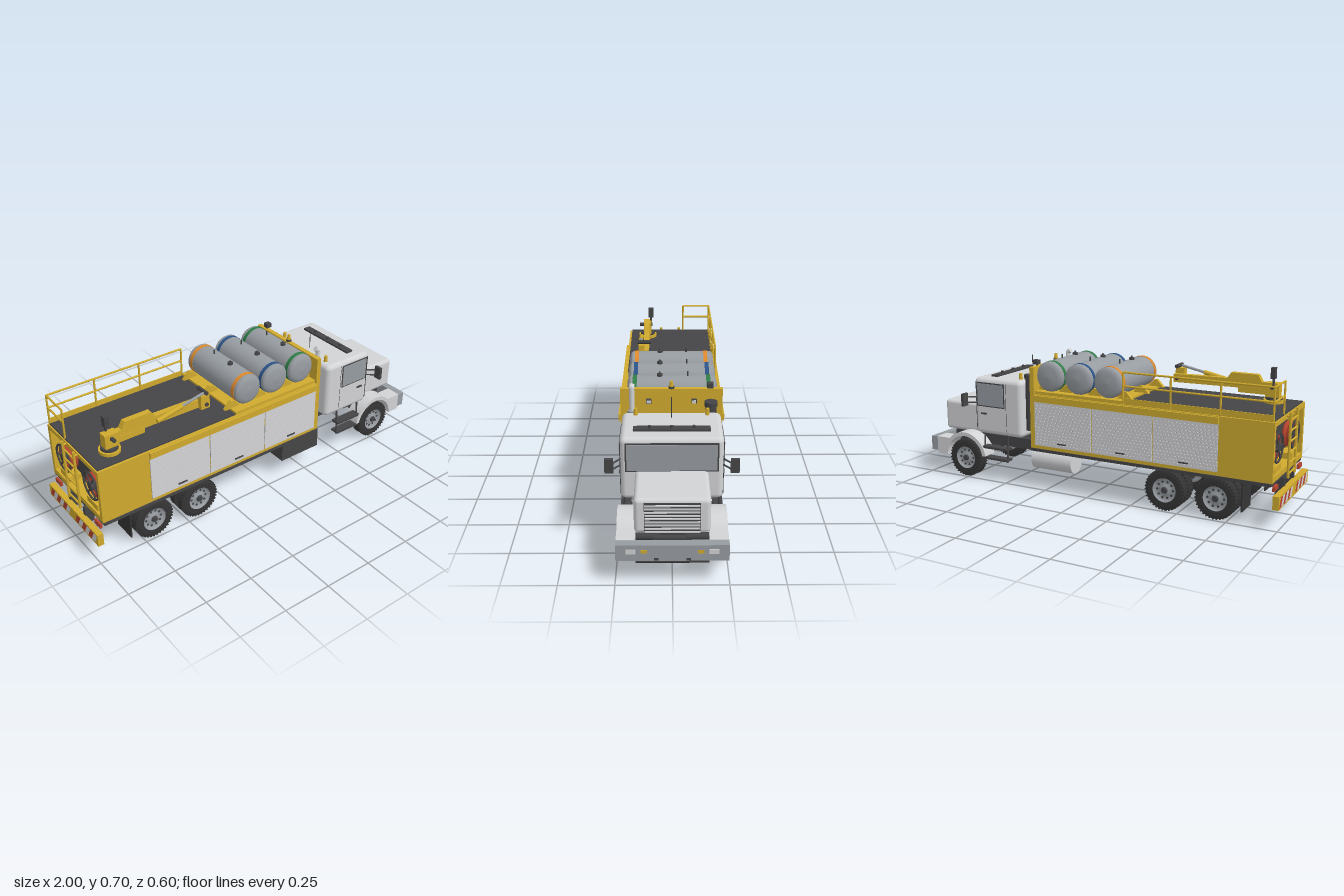
import * as THREE from 'three';
import { RoundedBoxGeometry } from 'three/addons/geometries/RoundedBoxGeometry.js';

const mat = (name, color) => new THREE.MeshStandardMaterial({ name, color });

export function createModel() {
  const yellow = mat('yellow paint', 0xd0ab2e), white = mat('white paint', 0xd2d3d5);
  const dark = mat('dark metal', 0x454547), rubber = mat('rubber', 0x353536);
  const steel = mat('steel grey', 0x979ca1), orange = mat('orange band', 0xe08a2c);
  const blue = mat('blue band', 0x2c5488), green = mat('green band', 0x2f7d48);
  const red = mat('red', 0xb5452f);
  const truck = new THREE.Group();
  truck.name = 'serviceTruck';
  let parent = truck;

  // Helpers
  const group = (name, build) => {
    const g = new THREE.Group(), old = parent;
    g.name = name;
    old.add(g);
    parent = g;
    build(g);
    parent = old;
    return g;
  };
  const add = (name, geo, m, x = 0, y = 0, z = 0) => {
    const mesh = new THREE.Mesh(geo, m);
    mesh.name = name;
    mesh.position.set(x, y, z);
    parent.add(mesh);
    return mesh;
  };
  const box = (name, m, x0, x1, y0, y1, z0, z1, r = 0) => {
    const s = [x1 - x0, y1 - y0, Math.abs(z1 - z0)];
    const geo = r ? new RoundedBoxGeometry(...s, 4, r) : new THREE.BoxGeometry(...s);
    return add(name, geo, m, (x0 + x1) / 2, (y0 + y1) / 2, (z0 + z1) / 2);
  };
  const rod = (name, m, a, b, r, r2 = r, n = 12) => {
    const p = new THREE.Vector3(...a), q = new THREE.Vector3(...b), d = q.clone().sub(p);
    const mesh = add(name, new THREE.CylinderGeometry(r2, r, d.length(), n), m, ...p.add(q).multiplyScalar(0.5));
    mesh.quaternion.setFromUnitVectors(new THREE.Vector3(0, 1, 0), d.normalize());
    return mesh;
  };
  const lathe = (pts, n = 40) => new THREE.LatheGeometry(pts.map(p => new THREE.Vector2(...p)), n).rotateX(Math.PI / 2);
  const poly = pts => new THREE.Shape(pts.map(p => new THREE.Vector2(...p)));
  const extrude = (shape, depth) => new THREE.ExtrudeGeometry(shape, { depth, bevelEnabled: false, curveSegments: 24 });

  // Chassis
  group('chassis', () => {
    for (const s of [1, -1]) box('frameRail', dark, -0.96, 0.95, 0.155, 0.213, s * 0.06, s * 0.085);
    for (const x of [-0.93, -0.56, -0.2, 0.1, 0.42, 0.62, 0.93]) box('crossMember', dark, x - 0.012, x + 0.012, 0.165, 0.205, -0.06, 0.06);
    rod('driveShaft', dark, [-0.45, 0.13, 0], [0.5, 0.16, 0], 0.012);
    box('engine', dark, 0.5, 0.92, 0.15, 0.26, -0.055, 0.055);
    for (const x of [-0.69, -0.427, 0.77]) {
      rod('axle', dark, [x, 0.105, -0.2], [x, 0.105, 0.2], 0.017);
      if (x < 0) add('differential', new THREE.SphereGeometry(0.04, 20, 14), dark, x, 0.112, 0);
      for (const s of [1, -1]) box('leafSpring', dark, x - 0.09, x + 0.09, 0.135, 0.155, s * 0.062, s * 0.088);
    }
    box('batteryBox', dark, 0.1, 0.345, 0.105, 0.21, 0.1, 0.24);
    rod('fuelTank', white, [0.1, 0.155, -0.18], [0.34, 0.155, -0.18], 0.058, 0.058, 28);
    for (const s of [1, -1]) {
      box('mudFlap', rubber, -0.825, -0.818, 0.06, 0.21, s * 0.115, s * 0.24);
      for (const x of [0.5, 0.65]) rod('stepPost', dark, [x, 0.11, s * 0.225], [x, 0.26, s * 0.215], 0.005);
      for (const y of [0.115, 0.175]) box('cabStep', dark, 0.495, 0.655, y, y + 0.012, s * 0.19, s * 0.238);
    }
  });

  // Wheels
  const w = 0.029;
  const tyreGeo = lathe([[0.06, -w], [0.085, -w - 0.001], [0.098, -w + 0.002], [0.102, -w + 0.008], [0.102, -0.009], [0.098, -0.008],
    [0.098, -0.005], [0.102, -0.004], [0.102, 0.004], [0.098, 0.005], [0.098, 0.008], [0.102, 0.009], [0.102, w - 0.008],
    [0.098, w - 0.002], [0.085, w + 0.001], [0.06, w]], 48);
  const rimGeo = lathe([[0.001, -0.02], [0.05, -0.02], [0.062, -w], [0.064, w - 0.001], [0.059, w + 0.001], [0.054, 0.018], [0.03, 0.014], [0.026, 0.024], [0.001, 0.024]]);
  const lugGeo = new THREE.BoxGeometry(0.007, 0.012, 0.014);
  const wheel = (x, z, s) => group('wheel', g => {
    g.position.set(x, 0.105, z);
    if (s < 0) g.rotation.y = Math.PI;
    add('tyre', tyreGeo, rubber);
    add('rim', rimGeo, steel);
    rod('hub', dark, [0, 0, 0.02], [0, 0, 0.034], 0.018, 0.014, 16);
    for (let i = 0; i < 10; i++) {
      const a = i * Math.PI / 5;
      const c = [0.042 * Math.cos(a), 0.042 * Math.sin(a)];
      rod('rimHole', dark, [...c, 0.012], [...c, 0.0185], 0.006);
    }
    for (let i = 0; i < 36; i++) for (const t of [1, -1]) {
      const a = (i + (t > 0 ? 0.5 : 0)) * Math.PI / 18;
      add('treadLug', lugGeo, rubber, 0.0985 * Math.cos(a), 0.0985 * Math.sin(a), t * 0.021).rotation.z = a - Math.PI / 2;
    }
  });
  for (const s of [1, -1]) {
    wheel(0.77, s * 0.21, s);
    for (const x of [-0.69, -0.427]) for (const z of [0.146, 0.21]) wheel(x, s * z, s);
  }

  // Service body with side shutters
  group('serviceBody', () => {
    box('bodyCore', yellow, -0.88, 0.31, 0.222, 0.508, -0.245, 0.245);
    box('bodyRoof', yellow, -0.965, -0.88, 0.485, 0.508, -0.245, 0.245);
    box('bodyFloor', yellow, -0.965, -0.88, 0.222, 0.25, -0.245, 0.245);
    box('bulkhead', yellow, 0.31, 0.335, 0.215, 0.648, -0.245, 0.245);
    box('subframe', dark, -0.96, 0.335, 0.207, 0.222, -0.25, 0.25);
    box('deckPlate', dark, -0.958, -0.2, 0.507, 0.514, -0.233, 0.233);
    box('rearRecess', dark, -0.886, -0.879, 0.25, 0.485, -0.225, 0.225);
    for (const s of [1, -1]) {
      box('rearWall', yellow, -0.965, -0.88, 0.25, 0.485, s * 0.225, s * 0.245);
      box('shutterHood', yellow, -0.7, 0.31, 0.472, 0.505, s * 0.245, s * 0.257);
      for (let p = 0; p < 3; p++) {
        const x0 = -0.7 + p * 0.337, x1 = x0 + 0.332;
        box('shutterBack', steel, x0, x1, 0.24, 0.472, s * 0.244, s * 0.247);
        for (let i = 0; i < 14; i++) box('shutterSlat', white, x0, x1, 0.241 + i * 0.0165, 0.2561 + i * 0.0165, s * 0.246, s * 0.25);
        box('shutterHandle', dark, x0 + 0.145, x0 + 0.195, 0.26, 0.266, s * 0.25, s * 0.256);
      }
      // Rear hose reels
      group('hoseReel', g => {
        g.position.set(-0.925, 0.365, s * 0.135);
        g.rotation.y = Math.PI / 2;
        for (const [r, z] of [[0.052, -0.012], [0.052, 0.012], [0.044, 0]]) add('hose', new THREE.TorusGeometry(r, 0.012, 8, 32), red, 0, 0, z);
        rod('reelDrum', dark, [0, 0, -0.035], [0, 0, 0.035], 0.022, 0.022, 20);
        add('reelFlange', new THREE.TorusGeometry(0.07, 0.005, 6, 32), dark, 0, 0, -0.028);
        for (let i = 0; i < 3; i++) {
          const a = i * Math.PI / 3, c = 0.07 * Math.cos(a), d = 0.07 * Math.sin(a);
          rod('reelSpoke', dark, [c, d, -0.028], [-c, -d, -0.028], 0.004);
        }
        box('reelStand', yellow, -0.05, 0.05, -0.115, -0.085, -0.03, 0.03);
      });
      rod('ladderRail', yellow, [-0.982, 0.2, s * 0.055], [-0.982, 0.52, s * 0.055], 0.007);
      rod('ladderBracket', yellow, [-0.982, 0.5, s * 0.055], [-0.94, 0.5, s * 0.055], 0.006);
      box('tailLight', red, -0.972, -0.96, 0.18, 0.203, s * 0.17, s * 0.225);
      box('bumperBracket', dark, -0.975, -0.93, 0.12, 0.21, s * 0.065, s * 0.085);
    }
    for (let i = 0; i < 6; i++) rod('ladderRung', yellow, [-0.982, 0.22 + i * 0.052, -0.055], [-0.982, 0.22 + i * 0.052, 0.055], 0.005);
    box('rearBumper', yellow, -1, -0.97, 0.1, 0.165, -0.245, 0.245);
    for (let i = 0; i < 14; i++) {
      const z = -0.24 + i * 0.0325, d = 0.0325;
      if (i === 6 || i === 7) continue;
      const stripe = poly([[z, 0.108], [z + d, 0.108], [z + d + 0.025, 0.157], [z + 0.025, 0.157]]);
      add('bumperStripe', new THREE.ShapeGeometry(stripe).rotateY(-Math.PI / 2), i % 2 ? white : red, -1.0008);
    }
    // Deck railing
    const posts = [-0.955, -0.703, -0.452, -0.2];
    for (const x of posts) rod('railPost', yellow, [x, 0.51, -0.237], [x, 0.668, -0.237], 0.005);
    rod('railPost', yellow, [-0.955, 0.51, -0.08], [-0.955, 0.668, -0.08], 0.005);
    for (const y of [0.6, 0.668]) {
      rod('sideRail', yellow, [-0.955, y, -0.237], [-0.2, y, -0.237], 0.005);
      rod('endRail', yellow, [-0.955, y, -0.237], [-0.955, y, -0.08], 0.005);
    }
    box('toeBoard', yellow, -0.955, -0.2, 0.51, 0.54, -0.24, -0.235);
  });

  // Three banded tanks on saddles
  const tankGeo = lathe([[0.001, -0.22], [0.05, -0.216], [0.07, -0.209], [0.078, -0.198], [0.078, 0.198], [0.07, 0.209], [0.05, 0.216], [0.001, 0.22]]);
  group('tanks', () => {
    box('tankBase', yellow, -0.2, 0.31, 0.507, 0.524, -0.235, 0.235);
    [[-0.1, orange], [0.069, blue], [0.238, green]].forEach(([x, band]) => {
      add('tank', tankGeo, steel, x, 0.6, -0.004);
      for (const z of [-0.178, 0.176]) rod('tankBand', band, [x, 0.6, z - 0.01], [x, 0.6, z + 0.01], 0.0795, 0.0795, 40);
      rod('valveBase', dark, [x, 0.67, 0.056], [x, 0.688, 0.056], 0.014);
      rod('valveCap', dark, [x, 0.686, 0.056], [x, 0.698, 0.056], 0.008, 0.003);
      rod('ventPipe', dark, [x, 0.67, -0.079], [x, 0.7, -0.079], 0.004);
    });
    for (const x of [-0.185, -0.015, 0.153, 0.29]) for (const z of [-0.19, -0.01, 0.17])
      add('tankSaddle', extrude(poly([[-0.045, 0.52], [0.045, 0.52], [0.008, 0.56], [-0.008, 0.56]]), 0.02), yellow, x === 0.29 ? 0.285 : x, 0, z);
  });

  // Folding crane
  group('crane', () => {
    rod('craneBase', yellow, [-0.84, 0.51, 0.135], [-0.84, 0.53, 0.135], 0.052, 0.052, 28);
    rod('slewRing', dark, [-0.84, 0.53, 0.135], [-0.84, 0.542, 0.135], 0.042, 0.042, 28);
    box('craneColumn', yellow, -0.87, -0.8, 0.54, 0.612, 0.112, 0.158);
    box('lowerBoom', yellow, -0.82, -0.66, 0.55, 0.58, 0.118, 0.152);
    add('mainBoom', extrude(poly([[-0.84, 0.575], [-0.31, 0.568], [-0.31, 0.61], [-0.6, 0.615], [-0.62, 0.645], [-0.76, 0.645], [-0.78, 0.61], [-0.84, 0.61]]), 0.03), yellow, 0, 0, 0.12);
    box('boomTip', yellow, -0.36, -0.31, 0.567, 0.64, 0.145, 0.175);
    rod('boomCylinder', yellow, [-0.6, 0.595, 0.165], [-0.46, 0.625, 0.165], 0.012);
    rod('boomPiston', steel, [-0.46, 0.625, 0.165], [-0.33, 0.652, 0.165], 0.007);
    for (const [x, y] of [[-0.33, 0.652], [-0.33, 0.59], [-0.835, 0.59]]) rod('boomPin', dark, [x, y, 0.108], [x, y, 0.182], 0.01);
    box('controlHead', dark, -0.85, -0.828, 0.635, 0.69, 0.1, 0.13);
    rod('controlPost', dark, [-0.84, 0.6, 0.115], [-0.84, 0.64, 0.115], 0.006);
  });

  // Cab, hood and fenders
  group('cab', () => {
    box('cabShell', white, 0.4, 0.7, 0.255, 0.562, -0.233, 0.233, 0.026);
    box('hood', white, 0.66, 0.955, 0.235, 0.402, -0.165, 0.165, 0.02);
    box('windshieldFrame', dark, 0.698, 0.703, 0.4, 0.54, -0.21, 0.21);
    box('windshield', steel, 0.7, 0.706, 0.406, 0.533, -0.203, 0.203);
    box('grilleFrame', dark, 0.95, 0.958, 0.237, 0.385, -0.121, 0.121);
    for (let i = 0; i < 9; i++) box('grilleBar', white, 0.955, 0.963, 0.243 + i * 0.0158, 0.25 + i * 0.0158, -0.119, 0.119);
    for (const s of [1, -1]) {
      box('sideWindowFrame', dark, 0.505, 0.682, 0.407, 0.538, s * 0.23, s * 0.235);
      box('sideWindow', steel, 0.511, 0.676, 0.413, 0.532, s * 0.232, s * 0.237);
      box('doorHandle', dark, 0.62, 0.655, 0.365, 0.373, s * 0.232, s * 0.24);
      for (const x of [0.495, 0.686]) box('doorSeam', dark, x, x + 0.002, 0.28, 0.54, s * 0.231, s * 0.2338);
      box('mirror', dark, 0.722, 0.737, 0.41, 0.478, s * 0.26, s * 0.3);
      for (const y of [0.425, 0.455]) rod('mirrorArm', dark, [0.68, y, s * 0.228], [0.728, y, s * 0.265], 0.004);
      // Fender arch running forward to the bumper
      const f = new THREE.Shape();
      f.moveTo(0.632, 0.13);
      f.absarc(0.77, 0.11, 0.139, Math.PI - 0.15, 0.75, true);
      f.lineTo(0.957, 0.205);
      f.lineTo(0.957, 0.11);
      f.lineTo(0.888, 0.11);
      f.absarc(0.77, 0.11, 0.118, 0, Math.PI - 0.15, false);
      add('fender', extrude(f, 0.083), white, 0, 0, s > 0 ? 0.162 : -0.245);
      rod('roofBeacon', yellow, [0.44, 0.56, s * 0.168], [0.44, 0.594, s * 0.168], 0.011, 0.008);
    }
    box('lightBar', dark, 0.585, 0.625, 0.558, 0.572, -0.175, 0.175);
    for (const z of [-0.1, 0, 0.1]) rod('lightBarKnob', dark, [0.605, 0.57, z], [0.605, 0.582, z], 0.008);
    rod('antenna', dark, [0.475, 0.56, 0], [0.475, 0.665, 0], 0.002);
  });

  // Front bumper
  group('frontBumper', () => {
    box('bumperBar', steel, 0.957, 0.998, 0.125, 0.203, -0.245, 0.245);
    rod('underTube', dark, [0.965, 0.108, -0.16], [0.965, 0.108, 0.16], 0.013);
    for (const s of [1, -1]) {
      box('headlight', white, 0.996, 1, 0.16, 0.184, s * 0.157, s * 0.2);
      box('turnSignal', yellow, 0.996, 1, 0.163, 0.18, s * 0.108, s * 0.136);
      box('towHook', dark, 0.99, 1, 0.128, 0.14, s * 0.06, s * 0.08);
    }
  });

  // Gear between cab and body
  group('cabRearGear', () => {
    rod('airCleaner', dark, [0.368, 0.3, -0.188], [0.368, 0.575, -0.188], 0.026, 0.026, 24);
    rod('airCleanerCap', dark, [0.368, 0.575, -0.188], [0.368, 0.598, -0.188], 0.031, 0.031, 24);
    rod('muffler', steel, [0.362, 0.21, 0.188], [0.362, 0.55, 0.188], 0.021, 0.021, 20);
    rod('exhaustStack', white, [0.362, 0.55, 0.188], [0.362, 0.668, 0.188], 0.0125, 0.0125, 16);
    rod('exhaustTip', white, [0.366, 0.66, 0.188], [0.345, 0.674, 0.188], 0.0135, 0.0135, 16);
    for (const z of [-0.11, -0.07, 0.07]) rod('serviceHose', dark, [0.33, 0.42, z], [0.41, 0.42, z], 0.006);
    for (const s of [1, -1]) {
      box('workLightHousing', dark, 0.335, 0.348, 0.577, 0.598, s * 0.095, s * 0.121);
      box('workLightLens', white, 0.346, 0.35, 0.58, 0.595, s * 0.098, s * 0.118);
    }
    box('floodlight', dark, 0.315, 0.345, 0.655, 0.678, -0.2, -0.17);
    rod('floodlightPost', dark, [0.325, 0.64, -0.185], [0.325, 0.66, -0.185], 0.005);
    rod('beaconBase', dark, [0.325, 0.648, 0], [0.325, 0.658, 0], 0.014);
    rod('beacon', yellow, [0.325, 0.658, 0], [0.325, 0.685, 0], 0.011, 0.007);
  });
  return truck;
}
